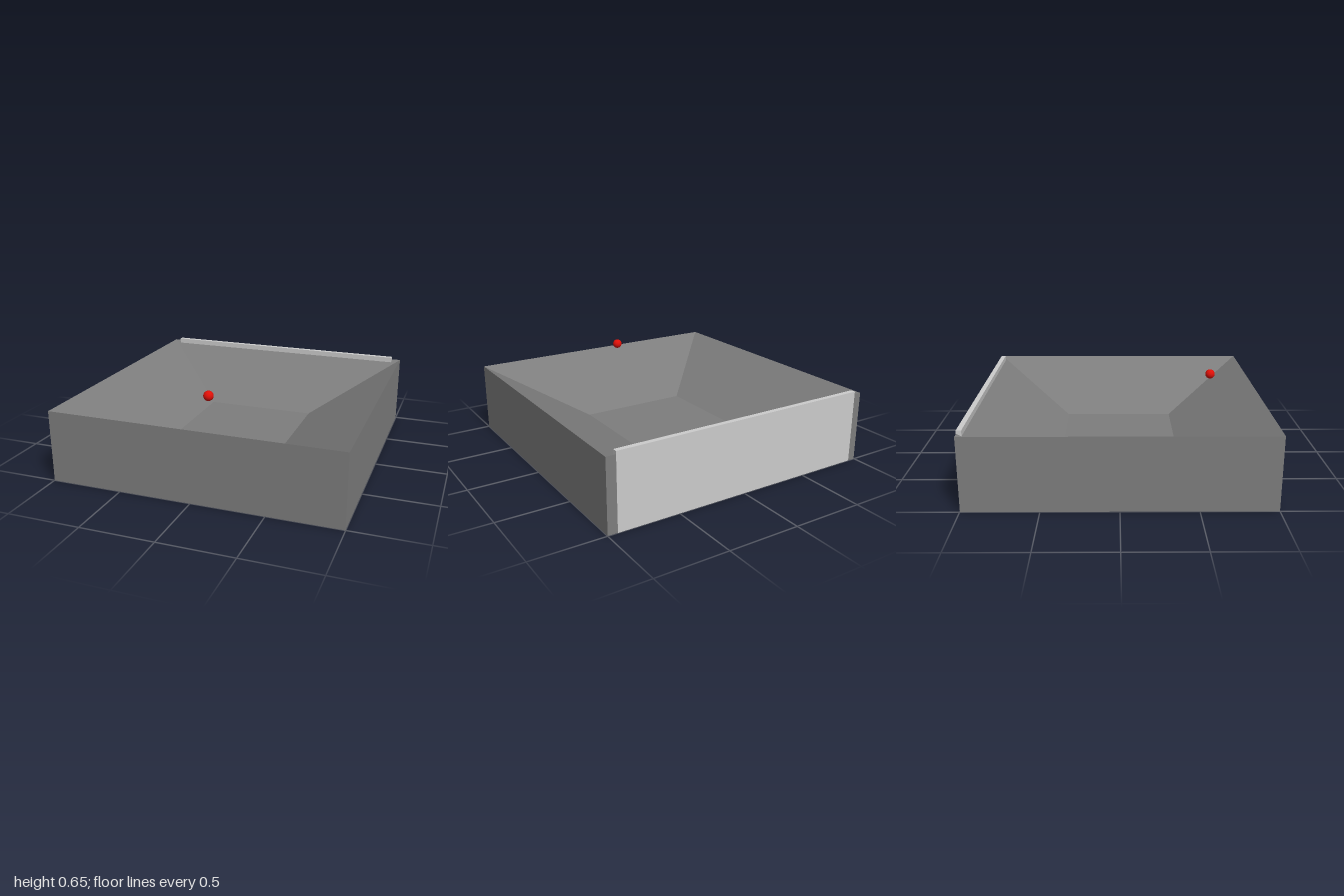
import * as THREE from 'three';

function addPart(group, name, geometry, material, x = 0, y = 0, z = 0) {
  const mesh = new THREE.Mesh(geometry, material);
  mesh.name = name;
  mesh.position.set(x, y, z);
  group.add(mesh);
  return mesh;
}

// Square solid from a profile of [half width, height], turned in four flat sides
function squareLathe(profile) {
  const points = profile.map(([half, y]) => new THREE.Vector2(half * Math.SQRT2, y));
  const geometry = new THREE.LatheGeometry(points, 4, Math.PI / 4).toNonIndexed();
  geometry.computeVertexNormals();
  return geometry;
}

export function createModel() {
  const model = new THREE.Group();
  model.name = 'basin';
  const darkGrey = new THREE.MeshStandardMaterial({ color: 0x7d7d7d, flatShading: true });
  const lightGrey = new THREE.MeshStandardMaterial({ color: 0xcccccc, flatShading: true });
  const red = new THREE.MeshStandardMaterial({ color: 0xe01008 });

  // Square block with a sloping pit and a flat floor
  const block = squareLathe([[0, 0], [0.999, 0], [0.999, 0.5], [0.4, 0.17], [0, 0.17]]);
  addPart(model, 'basinBlock', block, darkGrey, 0, 0, 0.001);

  // Thin light panel set into the back wall, standing just above the rim
  addPart(model, 'backPanel', new THREE.BoxGeometry(1.875, 0.52, 0.034), lightGrey, -0.005, 0.26, -0.983);

  // Small ball hovering over the front slope
  addPart(model, 'ball', new THREE.SphereGeometry(0.034, 32, 16), red, 0, 0.614, 0.665);

  return model;
}
